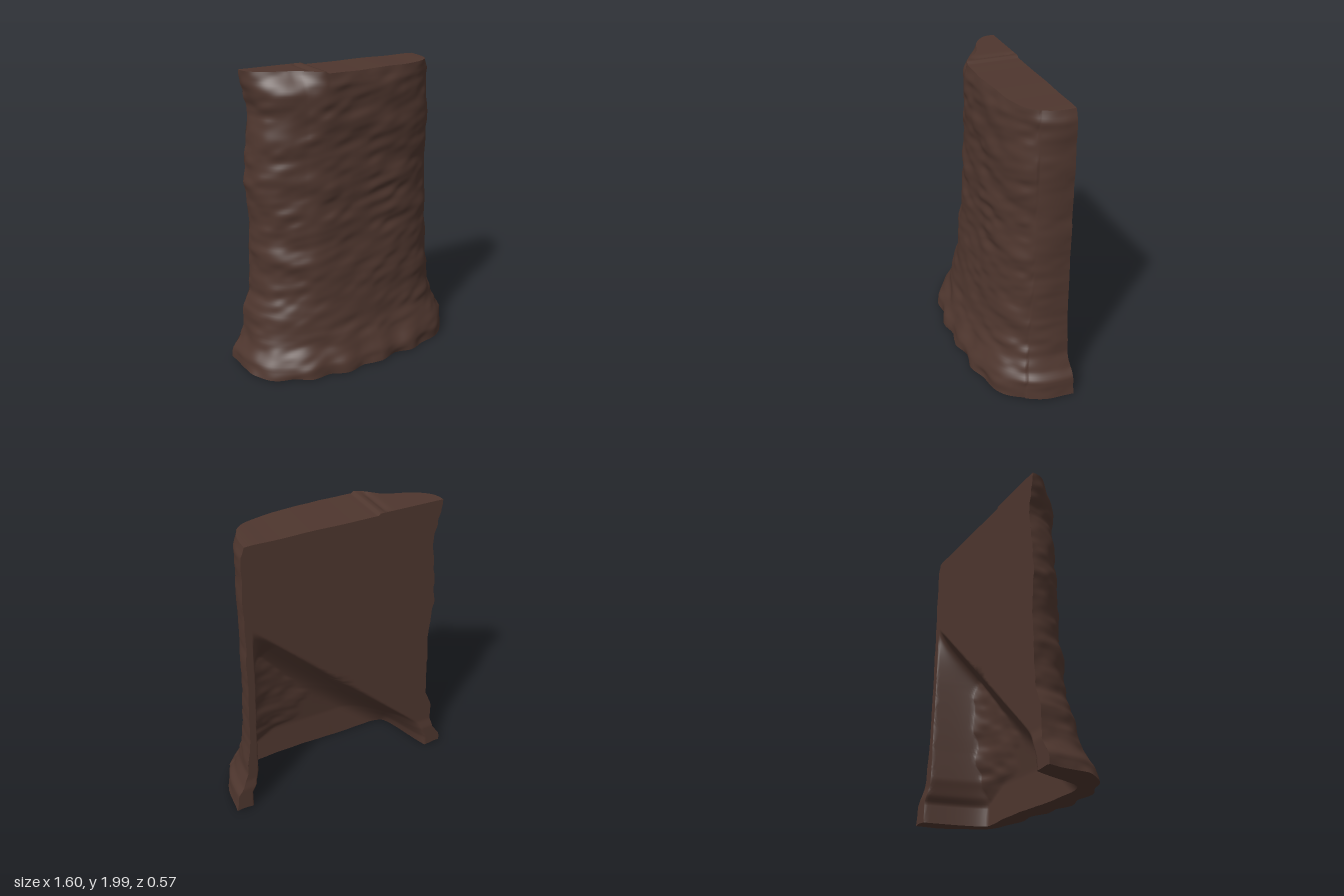
import * as THREE from 'three';

// Piecewise linear lookup in a table of [y, value]
function lookup(table, y) {
  if (y <= table[0][0]) return table[0][1];
  for (let i = 1; i < table.length; i++) {
    const [y0, v0] = table[i - 1], [y1, v1] = table[i];
    if (y <= y1) return v0 + (v1 - v0) * (y - y0) / (y1 - y0);
  }
  return table[table.length - 1][1];
}

// Seeded 3D value noise in -1..1
function hash(x, y, z) {
  const s = Math.sin(x * 127.1 + y * 311.7 + z * 74.7) * 43758.5453;
  return (s - Math.floor(s)) * 2 - 1;
}
function noise(x, y, z) {
  const ix = Math.floor(x), iy = Math.floor(y), iz = Math.floor(z);
  const e = (t) => t * t * (3 - 2 * t);
  const fx = e(x - ix), fy = e(y - iy), fz = e(z - iz);
  let sum = 0;
  for (let k = 0; k < 8; k++) {
    const a = k & 1, b = (k >> 1) & 1, c = k >> 2;
    sum += hash(ix + a, iy + b, iz + c) * (a ? fx : 1 - fx) * (b ? fy : 1 - fy) * (c ? fz : 1 - fz);
  }
  return sum;
}

// Half widths, front and back positions by height
const LEFT = [[0, 0.8], [0.14, 0.78], [0.19, 0.745], [0.3, 0.705], [0.5, 0.675], [1, 0.66], [1.93, 0.65], [2, 0.63]];
const RIGHT = [[0, 0.8], [0.08, 0.785], [0.25, 0.71], [0.4, 0.7], [0.5, 0.66], [1, 0.635], [1.3, 0.65], [1.5, 0.635],
  [1.72, 0.61], [1.85, 0.635], [2, 0.645]];
const FRONT = [[0, 0.27], [0.08, 0.26], [0.3, 0.175], [0.55, 0.145], [0.8, 0.115], [1, 0.105], [1.5, 0.09],
  [1.92, 0.09], [2, 0.07]];
const BACK = [[0, -0.285], [0.18, -0.285], [0.25, -0.272], [2, -0.272]];
// Deepest position inside the hollow
const HOLLOW = [[0, 0.12], [0.25, 0.13], [0.6, 0.09], [1.4, 0.03]];

// Outer bark surface: u runs from the left back edge round the front to the right
function outer(u, v) {
  const a = u * Math.PI, y = v * 2;
  const c = Math.cos(a), s = Math.max(0, Math.sin(a));
  const n = c > 0 ? 3 : 3 - 0.7 * v * Math.min(1, -c * 2);
  const w = lookup(c > 0 ? LEFT : RIGHT, y), zb = lookup(BACK, y);
  let x = w * Math.sign(c) * Math.pow(Math.abs(c), 2 / n);
  let z = zb + (lookup(FRONT, y) - zb) * Math.pow(s, 2 / n);
  const flutes = 0.014 * Math.max(0, 1 - y * 3) * Math.sin(x * 24) * s;
  // Chipped right corner at the top
  const chip = 0.08 * THREE.MathUtils.smoothstep(v, 0.93, 1) * THREE.MathUtils.smoothstep(-c, 0.25, 0.6);
  const rough = 0.014 * noise(x * 4 + 9, y * 9 + x * 2, z * 5)
    + 0.008 * noise(x * 9, y * 20 - x * 4, z * 10 + 4);
  const d = rough * (c > 0.9 ? 0.4 : 1) + flutes;
  x += d * c;
  z += (d - chip) * s;
  // Ragged foot and a slightly higher broken corner at the top
  const foot = (0.016 + 0.012 * noise(x * 6, 1.5, z * 6)) * Math.max(0, 1 - v * 8);
  const top = x < -0.22 ? 0 : 0.012 + 0.006 * noise(x * 5, 3, z * 5);
  return [x, y + foot - top * Math.max(0, v * 10 - 9), z];
}

// Back surface: flat above a slanting lip, hollowed out below it, with rims at both sides
function inner(u, v) {
  const [x, y, zo] = outer(u, v);
  const h = v * 2, zb = lookup(BACK, h);
  const depth = lookup(HOLLOW, h) - zb;
  const lip = 0.3 + (x + 0.55) * 0.97;
  const roof = THREE.MathUtils.clamp((lip - h) / 0.42, 0, 1);
  const edge = lookup(x > 0 ? LEFT : RIGHT, h) - 0.05 - 0.07 * Math.max(0, 1 - v * 4);
  const side = THREE.MathUtils.clamp((edge - Math.abs(x)) / 0.16, 0, 1);
  const z = zb + depth * Math.sin(roof * Math.PI / 2) * Math.sin(side * Math.PI / 2);
  return [x, y, Math.min(z, Math.max(zb, zo - 0.05), zo)];
}

// Grid surface from fn(u, v); flip reverses the facing
function grid(fn, nu, nv, flip) {
  const pos = [], index = [];
  for (let j = 0; j <= nv; j++)
    for (let i = 0; i <= nu; i++) pos.push(...fn(i / nu, j / nv));
  for (let j = 0; j < nv; j++)
    for (let i = 0; i < nu; i++) {
      const a = j * (nu + 1) + i, b = a + 1, c = a + nu + 1, d = c + 1;
      if (flip) index.push(a, b, c, b, d, c);
      else index.push(a, c, b, b, c, d);
    }
  const g = new THREE.BufferGeometry();
  g.setAttribute('position', new THREE.Float32BufferAttribute(pos, 3));
  g.setIndex(index);
  g.computeVertexNormals();
  return g;
}

// Flat end between the outer and back edges at height v
function cap(v) {
  return (u, t) => {
    const o = outer(u, v), n = inner(u, v);
    const p = o.map((k, i) => k + (n[i] - k) * t);
    // Shallow crack across the top
    if (v === 1 && t > 0 && t < 1) p[1] -= 0.012 * Math.exp(-Math.pow((p[0] + 0.28) / 0.02, 2));
    return p;
  };
}

export function createModel() {
  const group = new THREE.Group();
  group.name = 'barkSlab';
  const bark = new THREE.MeshStandardMaterial({ color: 0x4e362e });
  bark.name = 'dark brown bark';
  const add = (name, geometry) => {
    const mesh = new THREE.Mesh(geometry, bark);
    mesh.name = name;
    group.add(mesh);
  };
  add('barkFront', grid(outer, 140, 130, false));
  add('hollowBack', grid(inner, 140, 130, true));
  add('brokenTop', grid(cap(1), 140, 8, false));
  add('raggedFoot', grid(cap(0), 140, 4, true));
  return group;
}
